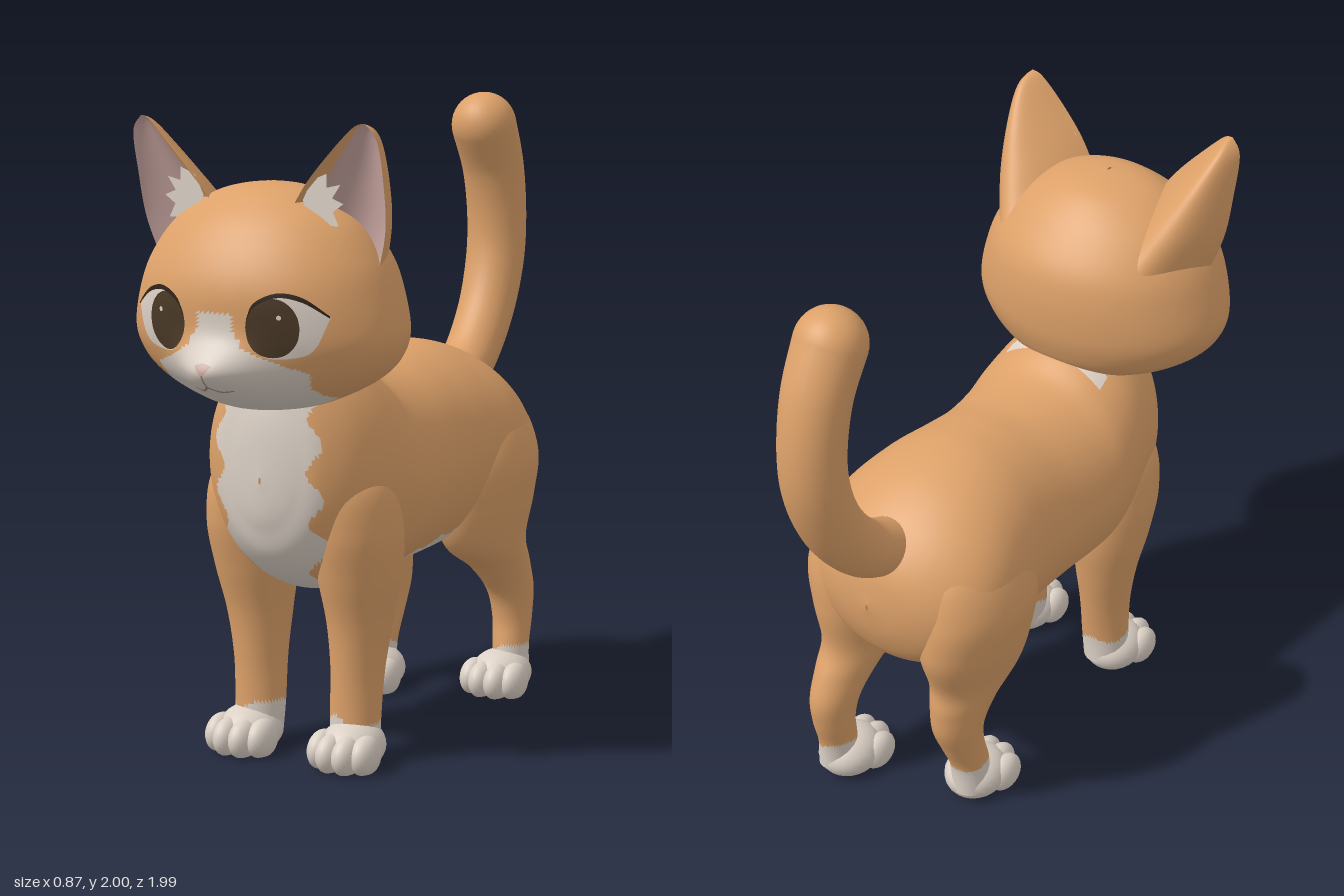
import * as THREE from 'three';

const mat = (name, color) => {
  const m = new THREE.MeshStandardMaterial({ color, side: THREE.DoubleSide });
  m.name = name;
  return m;
};

// Catmull-Rom sample of a table of rows, t from 0 to 1
function spline(T, t) {
  const n = T.length - 1, s = Math.min(t * n, n - 1e-6), i = Math.floor(s), f = s - i;
  const row = (j) => T[Math.max(0, Math.min(n, i + j))];
  return T[0].map((_, k) => {
    const a = row(-1)[k], b = row(0)[k], c = row(1)[k], d = row(2)[k];
    return 0.5 * (2 * b + (c - a) * f + (2 * a - 5 * b + 4 * c - d) * f * f + (3 * b - a - 3 * c + d) * f ** 3);
  });
}

// Surface from f(u, v); wrap closes it around u
function grid(nu, nv, f, wrap = false, flip = false) {
  const cols = wrap ? nu : nu + 1, pos = [], idx = [];
  for (let j = 0; j <= nv; j++) for (let i = 0; i < cols; i++) pos.push(...f(i / nu, j / nv));
  for (let j = 0; j < nv; j++) for (let i = 0; i < nu; i++) {
    const a = j * cols + i, b = j * cols + (i + 1) % cols, c = a + cols, d = b + cols;
    if (flip) idx.push(a, b, c, b, d, c);
    else idx.push(a, c, b, b, c, d);
  }
  const g = new THREE.BufferGeometry();
  g.setAttribute('position', new THREE.Float32BufferAttribute(pos, 3));
  g.setIndex(idx);
  g.computeVertexNormals();
  return g;
}

// Sort faces into two material groups by a rule on their centre
function paint(g, isSecond) {
  const p = g.attributes.position, src = g.index.array, sets = [[], []];
  for (let i = 0; i < src.length; i += 3) {
    const t = [src[i], src[i + 1], src[i + 2]];
    const mean = (get) => t.reduce((sum, k) => sum + p[get](k), 0) / 3;
    sets[isSecond(mean('getX'), mean('getY'), mean('getZ')) ? 1 : 0].push(...t);
  }
  g.setIndex([...sets[0], ...sets[1]]);
  g.addGroup(0, sets[0].length, 0);
  g.addGroup(sets[0].length, sets[1].length, 1);
  return g;
}

// Head rows: y, half width, back z, front z
const HEAD = [
  [1.13, .004, .59, .61], [1.15, .15, .45, .72], [1.19, .26, .36, .80], [1.24, .35, .30, .85],
  [1.30, .41, .27, .88], [1.38, .435, .252, .905], [1.50, .41, .25, .915], [1.60, .37, .275, .885],
  [1.70, .295, .35, .82], [1.77, .19, .43, .74], [1.80, .10, .50, .68], [1.812, .004, .59, .61],
];
const HEAD_ROWS = 120, ZC = 0.6;
const headRows = Array.from({ length: HEAD_ROWS + 1 }, (_, i) => spline(HEAD, i / HEAD_ROWS));
const muzzle = (x, y) => 0.11 * Math.exp(-((x / 0.13) ** 2) - ((y - 1.28) / (y < 1.28 ? 0.1 : 0.075)) ** 2);
function headZ(x, y) {
  let i = headRows.findIndex((r) => r[0] > y);
  i = Math.max(1, i);
  const a = headRows[i - 1], b = headRows[i], f = (y - a[0]) / (b[0] - a[0]);
  const w = a[1] + (b[1] - a[1]) * f, zf = a[3] + (b[3] - a[3]) * f;
  const sn = Math.sqrt(Math.max(0, 1 - (x / w) ** 2));
  return ZC + sn * (zf - ZC) + sn * muzzle(x, y);
}
// Thin plate on the face between a lower and an upper curve
const facePlate = (lower, upper, lift, s = 1) => grid(28, 8, (u, v) => {
  const a = spline(lower, u), b = spline(upper, u);
  const x = a[0] + (b[0] - a[0]) * v, y = a[1] + (b[1] - a[1]) * v;
  return [s * x, y, headZ(x, y) + lift];
}, false, s > 0);

// Body sections, front to back: z, half width, bottom y, top y
const BODY = [
  [.672, .004, .91, .93], [.665, .06, .82, 1.06], [.65, .12, .76, 1.15], [.62, .19, .68, 1.25],
  [.54, .26, .60, 1.30], [.42, .30, .54, 1.32], [.30, .32, .52, 1.27], [.20, .32, .525, 1.215],
  [.05, .31, .53, 1.20], [-.10, .31, .53, 1.22], [-.25, .33, .54, 1.23], [-.40, .35, .56, 1.20],
  [-.52, .33, .58, 1.14], [-.61, .25, .64, 1.06], [-.66, .14, .74, .98], [-.68, .004, .85, .87],
];
// Leg sections: y, centre x, centre z, radius x, radius z
const FRONT_LEG = [
  [.05, .175, .40, .075, .08], [.15, .172, .395, .08, .08], [.30, .175, .385, .082, .095],
  [.45, .18, .38, .10, .118], [.60, .185, .39, .125, .15], [.75, .19, .41, .13, .165],
  [.90, .17, .42, .12, .15], [1.0, .14, .42, .03, .05],
];
const HIND_LEG = [
  [.05, .23, -.575, .06, .07], [.15, .225, -.58, .06, .07], [.25, .22, -.60, .065, .078],
  [.35, .215, -.59, .075, .10], [.45, .21, -.52, .09, .14], [.55, .205, -.42, .115, .20],
  [.70, .21, -.40, .145, .235], [.85, .22, -.40, .15, .23], [1.0, .19, -.40, .12, .18], [1.1, .15, -.40, .02, .03],
];
const TAIL = [
  [1.02, -.54, .09], [1.10, -.69, .092], [1.25, -.815, .096], [1.42, -.885, .1],
  [1.58, -.897, .102], [1.75, -.865, .105], [1.89, -.795, .11],
];
// Ear edges from base to tip
const EAR_IN = [[.12, 1.72, .70], [.19, 1.82, .715], [.28, 1.92, .72], [.345, 1.985, .715], [.375, 1.998, .71]];
const EAR_OUT = [[.36, 1.52, .61], [.41, 1.68, .64], [.42, 1.83, .67], [.415, 1.95, .70], [.38, 1.998, .71]];
const TUFT = [[.17, 1.77], [.20, 1.69], [.26, 1.66], [.25, 1.70], [.29, 1.70], [.27, 1.74], [.305, 1.765],
  [.268, 1.78], [.295, 1.82], [.25, 1.81], [.25, 1.85], [.20, 1.83]];

const EYE_LOW = [[.105, 1.42], [.15, 1.338], [.24, 1.335], [.29, 1.365], [.325, 1.45]];
const EYE_TOP = [[.105, 1.42], [.125, 1.475], [.19, 1.508], [.26, 1.495], [.325, 1.45]];
const arc = (cx, cy, rx, ry, sign) => Array.from({ length: 9 }, (_, i) => {
  const a = Math.PI * (1 - i / 8);
  return [cx + rx * Math.cos(a), cy + sign * ry * Math.sin(a)];
});

export function createModel() {
  const orange = mat('orange fur', 0xdda169), white = mat('white fur', 0xdbd0c5);
  const pink = mat('inner ear pink', 0xc9a6a1), brown = mat('eye brown', 0x4a3926);
  const dark = mat('lash dark', 0x2e2218), mouth = mat('mouth', 0xa98a7e), noseMat = mat('nose', 0xcfb0a4);
  const model = new THREE.Group();
  model.name = 'cat';
  const add = (name, geo, material, parent = model) => {
    const m = new THREE.Mesh(geo, material);
    m.name = name;
    parent.add(m);
    return m;
  };
  const TAU = Math.PI * 2;

  // Body with white chest and belly
  const bodyGeo = grid(112, 110, (u, v) => {
    const [z, w, lo, hi] = spline(BODY, v), a = u * TAU;
    return [w * Math.cos(a), (lo + hi) / 2 + (hi - lo) / 2 * Math.sin(a), z];
  }, true);
  add('body', paint(bodyGeo, (x, y, z) => {
    const chest = 0.165 + 0.022 * Math.sin(y * 38) - Math.max(0, 0.72 - y) * 0.5;
    if (z > 0.3) return Math.abs(x) < chest;
    return z > -0.45 && z < 0.25 && y < 0.6 - z * 0.2 + 0.012 * Math.sin(z * 55);
  }), [orange, white]);

  // Head with muzzle and white mask
  const headGeo = grid(160, HEAD_ROWS, (u, v) => {
    const [y, w, zb, zf] = spline(HEAD, v), c = Math.cos(u * TAU), sn = Math.sin(u * TAU), x = w * c;
    return [x, y, ZC + sn * (sn > 0 ? zf - ZC : ZC - zb) + Math.max(0, sn) * muzzle(x, y)];
  }, true);
  add('head', paint(headGeo, (x, y, z) => {
    const half = y > 1.36 ? 0.05 + (1.455 - y) * 0.35 : Math.min(0.25, 0.085 + (1.36 - y) * 2.2);
    return z > 0.63 && y < 1.455 && Math.abs(x) < half + 0.006 * Math.sin(y * 70);
  }), [orange, white]);

  // Nose and mouth
  add('nose', facePlate([[-.028, 1.31], [0, 1.283], [.028, 1.31]], [[-.028, 1.31], [0, 1.318], [.028, 1.31]], .004), noseMat);
  add('mouthLine', facePlate([[-.003, 1.24], [.003, 1.24]], [[-.003, 1.284], [.003, 1.284]], .003), mouth);

  for (const s of [1, -1]) {
    const side = s > 0 ? 'left' : 'right';
    add(side + 'Mouth', facePlate([[0, 1.242], [.03, 1.226], [.065, 1.232]], [[0, 1.249], [.03, 1.232], [.065, 1.235]], .003, s), mouth);

    // Eyes
    add(side + 'EyeWhite', facePlate(EYE_LOW, EYE_TOP, .004, s), white);
    add(side + 'Iris', facePlate(arc(.178, 1.42, .075, .086, -1), arc(.178, 1.42, .075, .086, 1), .007, s), brown);
    add(side + 'Lash', facePlate(EYE_TOP, EYE_TOP.map(([x, y], i) => [x, y + [0, .012, .013, .013, .006][i]]), .009, s), dark);
    add(side + 'EyeGlint', facePlate(arc(.2, 1.452, .007, .007, -1), arc(.2, 1.452, .007, .007, 1), .0095, s), white);

    // Ears: outer shell, inner rim, pink hollow and fur tuft
    const earSheet = (u0, u1, depth, flip) => grid(24, 24, (u, v) => {
      const k = u0 + (u1 - u0) * u, a = spline(EAR_IN, v), b = spline(EAR_OUT, v);
      const p = a.map((q, i) => q + (b[i] - q) * k);
      return [s * p[0], p[1], p[2] - depth * (1 - v) * Math.sin(Math.PI * k) ** 0.8];
    }, false, flip === s > 0);
    add(side + 'EarShell', earSheet(0, 1, 0.28, false), orange);
    add(side + 'EarRim', earSheet(0, 0.12, 0.1, true), orange);
    add(side + 'EarInner', earSheet(0.12, 1, 0.1, true), pink);
    const tuft = new THREE.Shape(TUFT.map(([x, y]) => new THREE.Vector2(s * x, y)));
    add(side + 'EarTuft', new THREE.ShapeGeometry(tuft).translate(0, 0, 0.698), white);

    // Legs; the right hind leg steps forward
    const leg = (name, table, step, dx) => {
      const geo = grid(44, 60, (u, v) => {
        const [y, cx, cz, rx, rz] = spline(table, v), a = u * TAU;
        const k = step * (1 - THREE.MathUtils.smoothstep(y, 0.15, 0.72));
        return [s * (cx + dx * (k ? k / step : 0) + rx * Math.cos(a)), y, cz + k + rz * Math.sin(a)];
      }, true, s < 0);
      add(name, paint(geo, (x, y, z) => y < 0.15 + 0.015 * Math.sin(x * 45 + z * 30)), [orange, white]);
    };
    const step = s < 0 ? 0.16 : 0, dx = s < 0 ? -0.03 : 0;
    leg(side + 'FrontLeg', FRONT_LEG, 0, 0);
    leg(side + 'HindLeg', HIND_LEG, step, dx);

    // Paws with four toes
    const paw = (name, px, pz) => {
      const g = new THREE.Group();
      g.name = name;
      model.add(g);
      const blob = (n, x, y, z, rx, ry, rz) => {
        const geo = new THREE.SphereGeometry(1, 24, 16).scale(rx, ry, rz).translate(s * x, y, z);
        const p = geo.attributes.position;
        for (let i = 0; i < p.count; i++) p.setY(i, Math.max(0.004, p.getY(i)));
        add(n, geo, white, g);
      };
      blob('foot', px, 0.065, pz + 0.045, 0.1, 0.082, 0.115);
      [-0.075, -0.028, 0.028, 0.075].forEach((o) =>
        blob('toe', px + o, 0.055, pz + (Math.abs(o) > 0.05 ? 0.1 : 0.13), 0.042, 0.063, 0.07));
    };
    paw(side + 'FrontPaw', 0.185, 0.39);
    paw(side + 'HindPaw', 0.215 + dx, -0.575 + step);
  }

  // Tail with rounded tip
  add('tail', grid(32, 60, (u, v) => {
    const [y, z, r] = spline(TAIL, v), a = u * TAU;
    const p = spline(TAIL, Math.max(0, v - 0.01)), q = spline(TAIL, Math.min(1, v + 0.01));
    const len = Math.hypot(q[0] - p[0], q[1] - p[1]), ty = (q[0] - p[0]) / len, tz = (q[1] - p[1]) / len;
    return [r * Math.cos(a), y - tz * r * Math.sin(a), z + ty * r * Math.sin(a)];
  }, true), orange);
  add('tailTip', new THREE.SphereGeometry(0.11, 32, 20).translate(0, 1.89, -0.795), orange);

  return model;
}
